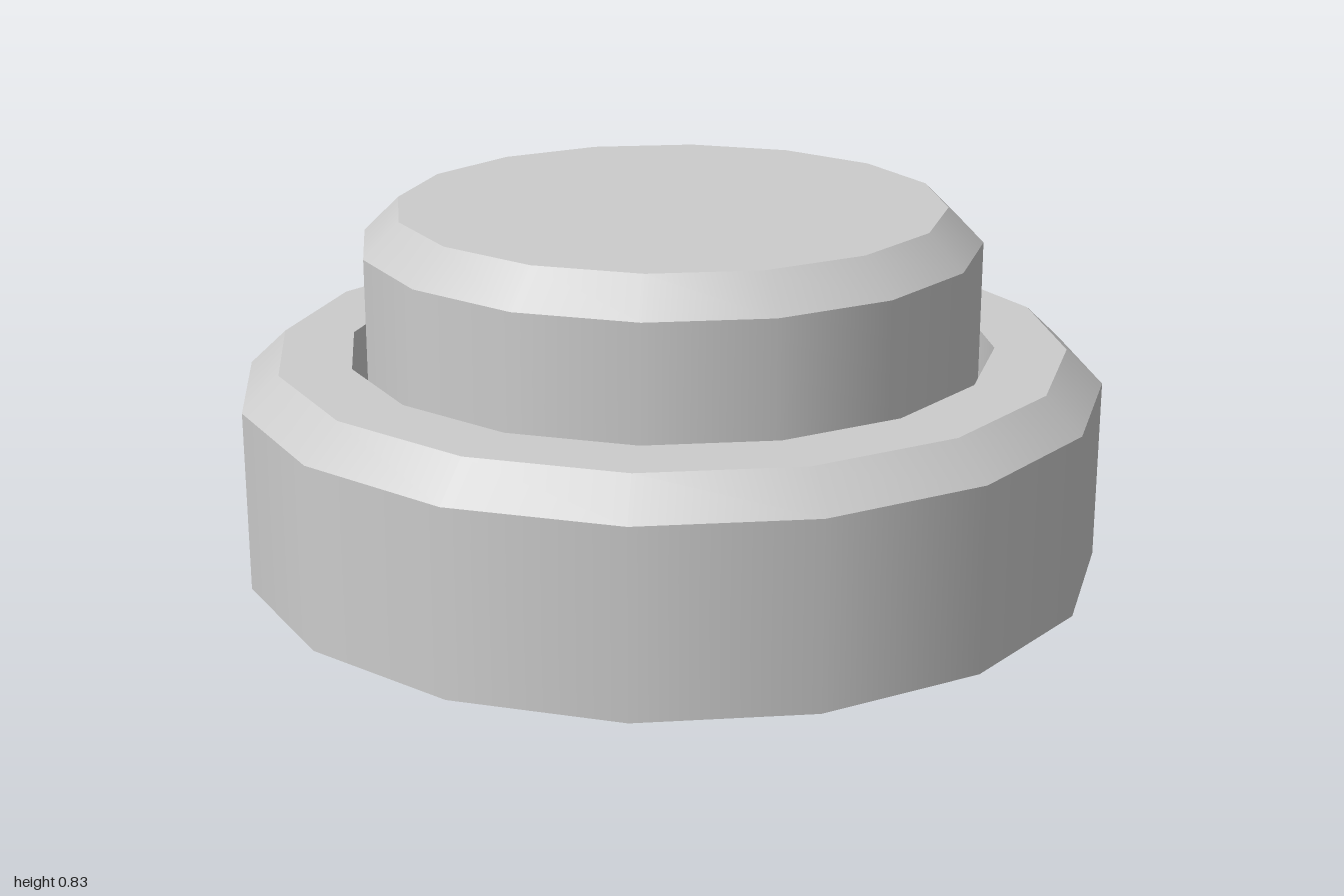
import * as THREE from 'three';

const SIDES = 16;
const material = new THREE.MeshStandardMaterial({ color: 0xcccccc, side: THREE.DoubleSide });

// Revolves each profile segment separately: smooth around, crisp between bands
function turned(name, profile, bandNames) {
  const group = new THREE.Group();
  group.name = name;
  bandNames.forEach((bandName, i) => {
    const points = [profile[i], profile[i + 1]].map(([r, y]) => new THREE.Vector2(r, y));
    const band = new THREE.Mesh(new THREE.LatheGeometry(points, SIDES), material);
    band.name = bandName;
    group.add(band);
  });
  return group;
}

export function createModel() {
  const model = new THREE.Group();
  model.name = 'pushButton';

  // Housing: open underneath, with a well sunk through its top
  model.add(turned('housing',
    [[1, 0], [1, 0.42], [0.915, 0.5], [0.75, 0.5], [0.75, 0], [0, 0]],
    ['housingWall', 'housingBevel', 'housingRim', 'wellWall', 'wellFloor']));

  // Button: bevelled plunger standing in the well
  model.add(turned('button',
    [[0.715, 0], [0.715, 0.75], [0.633, 0.83], [0, 0.83]],
    ['buttonWall', 'buttonBevel', 'buttonTop']));

  return model;
}
